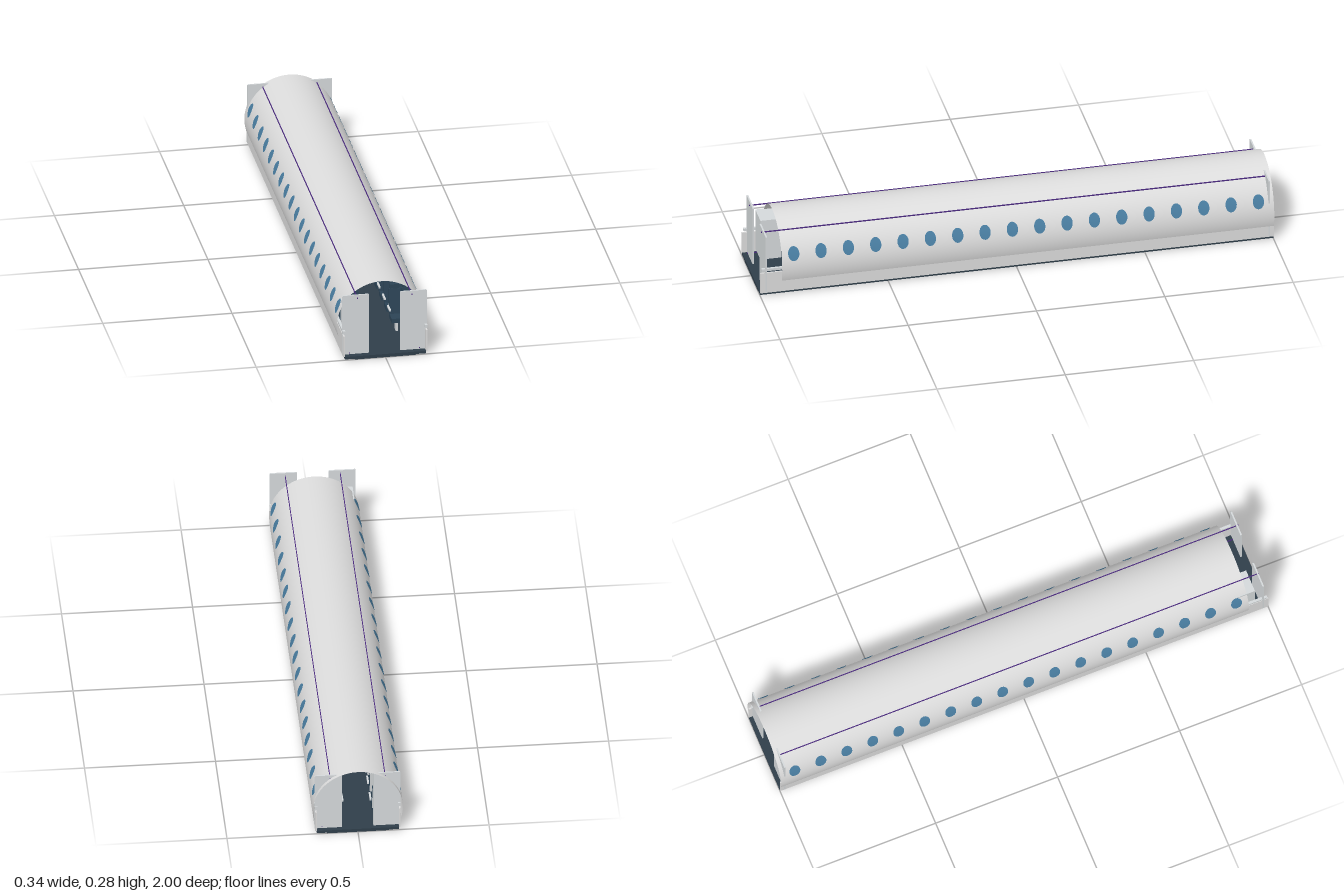
import * as THREE from 'three';

const mat = (name, color, side = THREE.FrontSide) => {
  const m = new THREE.MeshStandardMaterial({ color, side });
  m.name = name;
  return m;
};

export function createModel() {
  const root = new THREE.Group();
  root.name = 'cabinSection';
  const shellGrey = mat('shellGrey', 0xdcdcdc, THREE.DoubleSide);
  const panelGrey = mat('panelGrey', 0xd4d8da);
  const floorNavy = mat('floorNavy', 0x2f3e4a);
  const seatNavy = mat('seatNavy', 0x2c4456);
  const windowBlue = mat('windowBlue', 0x4a7fa3, THREE.DoubleSide);
  const lightPurple = mat('lightPurple', 0x4b2a80);

  const add = (name, geo, material, parent = root) => {
    const m = new THREE.Mesh(geo, material);
    m.name = name;
    parent.add(m);
    return m;
  };
  // Box given by its minimum and maximum along each axis
  const box = (name, x0, x1, y0, y1, z0, z1, material, parent = root) => {
    const m = add(name, new THREE.BoxGeometry(Math.abs(x1 - x0), y1 - y0, z1 - z0), material, parent);
    m.position.set((x0 + x1) / 2, (y0 + y1) / 2, (z0 + z1) / 2);
    return m;
  };

  const R = 0.172, CY = 0.108, PITCH = 0.1065, ROWS = 18;

  // Floor with a narrower plate underneath
  box('floor', -0.157, 0.157, 0.003, 0.013, -1, 1, floorNavy);
  box('floorBeam', -0.118, 0.118, 0, 0.003, -1, 1, floorNavy);

  // Open arched shell
  const low = Math.asin((0.06 - CY) / R);
  const arc = new THREE.CylinderGeometry(R, R, 1.917, 64, 1, true, Math.PI / 2 + low, Math.PI - 2 * low);
  arc.rotateX(Math.PI / 2);
  // Turn the arc so that its gap points down
  arc.rotateZ(Math.PI);
  arc.computeBoundingBox();
  if (arc.boundingBox.max.y < R - 0.01) arc.rotateZ(Math.PI);
  add('shell', arc, shellGrey).position.set(0, CY, -0.0415);

  // Oval window wrapped on a cylinder of radius r
  const windowGeometry = (r, side) => {
    const g = new THREE.CircleGeometry(1, 20);
    const p = g.attributes.position;
    const mid = Math.asin((0.17 - CY) / R);
    for (let i = 0; i < p.count; i++) {
      const a = mid + p.getY(i) * 0.029 / R;
      p.setXYZ(i, side * r * Math.cos(a), CY + r * Math.sin(a), -side * p.getX(i) * 0.022);
    }
    g.computeVertexNormals();
    return g;
  };

  // One seat facing the front
  const seat = (x, z) => {
    const s = new THREE.Group();
    s.name = 'seat';
    box('seatCushion', -0.023, 0.023, 0.055, 0.073, -0.025, 0.03, seatNavy, s);
    const back = box('seatBack', -0.023, 0.023, 0.07, 0.172, -0.034, -0.022, seatNavy, s);
    back.rotation.x = -0.12;
    const rear = box('seatBackShell', -0.022, 0.022, 0.07, 0.165, -0.04, -0.034, panelGrey, s);
    rear.rotation.x = -0.12;
    box('headrest', -0.018, 0.018, 0.165, 0.19, -0.045, -0.03, seatNavy, s);
    box('seatLeg', -0.004, 0.004, 0.013, 0.055, -0.012, 0.012, panelGrey, s);
    s.position.set(x, 0, z);
    root.add(s);
  };

  for (const s of [1, -1]) {
    // Lower side wall, ledge rail and light strips
    box('lowerWall', s * 0.157, s * 0.163, 0.013, 0.1, -1, 1, shellGrey);
    box('ledgeRail', s * 0.154, s * 0.164, 0.108, 0.118, -0.99, 0.995, panelGrey);
    box('ceilingLight', s * 0.1035, s * 0.1065, 0.245, 0.249, -0.985, 0.985, lightPurple);
    box('floorLight', s * 0.134, s * 0.137, 0.019, 0.022, -0.985, 0.985, lightPurple);

    // Partition panels at both ends, with chamfered top corners
    const shape = new THREE.Shape();
    [[0.06, 0.015], [0.164, 0.015], [0.164, 0.257], [0.161, 0.26], [0.063, 0.26], [0.06, 0.257]]
      .forEach(([x, y], i) => (i ? shape.lineTo(s * x, y) : shape.moveTo(s * x, y)));
    for (const z of [0.975, -0.985]) {
      const g = new THREE.ExtrudeGeometry(shape, { depth: 0.006, bevelEnabled: false });
      add('partition', g, panelGrey).position.z = z;
    }

    // Windows, outside and inside the shell
    for (let i = 0; i < ROWS; i++) {
      const z = 0.87 - i * PITCH;
      for (const r of [R + 0.0015, R - 0.002]) {
        add('window', windowGeometry(r, s), windowBlue).position.z = z;
      }
    }

    // Rows of paired seats with aisle armrests
    for (let i = 0; i < ROWS - 1; i++) {
      const z = 0.79 - i * PITCH;
      seat(s * 0.081, z);
      seat(s * 0.13, z);
      box('armrest', s * 0.05, s * 0.057, 0.1, 0.107, z - 0.025, z + 0.02, panelGrey);
    }
  }

  // Cabinet behind the front right partition
  box('cabinet', -0.15, -0.06, 0.03, 0.2, 0.87, 0.95, panelGrey);

  return root;
}
